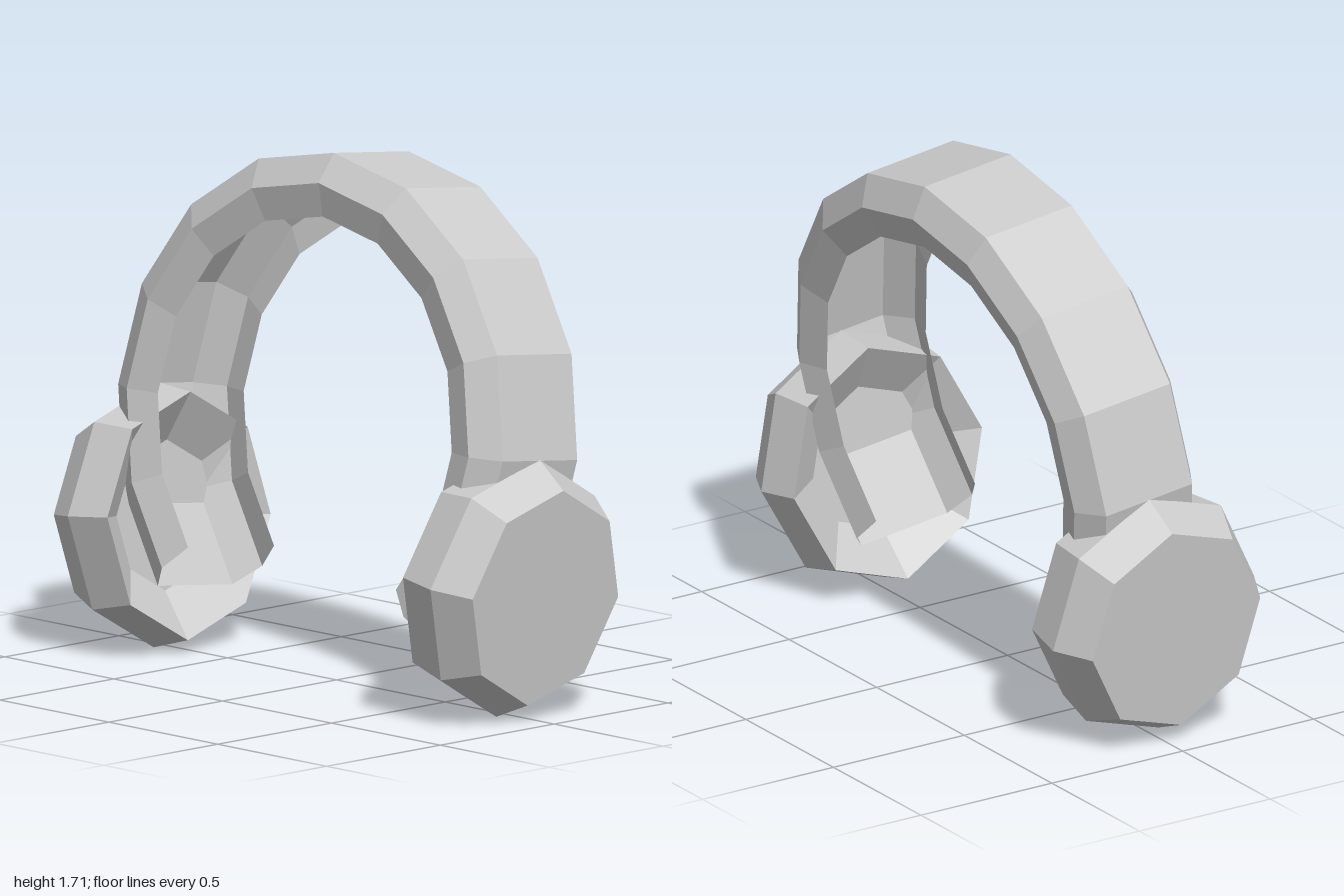
import * as THREE from 'three';

const material = new THREE.MeshStandardMaterial({ color: 0xcccccc, flatShading: true });
const shellMaterial = new THREE.MeshStandardMaterial({
  color: 0xcccccc, flatShading: true, side: THREE.DoubleSide,
});

// Headband: a thin hollow channel, section [radius, z], swept through 270 degrees
function headbandGeometry() {
  const section = [
    [0.675, -0.19], [0.785, -0.222], [0.883, -0.165],
    [0.883, 0.165], [0.785, 0.222], [0.675, 0.19],
  ];
  const n = section.length;
  const steps = 12;
  const positions = [];
  const index = [];
  for (let i = 0; i <= steps; i++) {
    const a = (i / steps - 0.5) * Math.PI * 1.5;
    for (const [r, z] of section) positions.push(r * Math.sin(a), 0.98 * r * Math.cos(a), z);
  }
  for (let i = 0; i < steps; i++) {
    for (let j = 0; j < n - 1; j++) {
      const a = i * n + j;
      const b = a + 1;
      index.push(a, b, b + n, a, b + n, a + n);
    }
  }
  const geometry = new THREE.BufferGeometry();
  geometry.setAttribute('position', new THREE.Float32BufferAttribute(positions, 3));
  geometry.setIndex(index);
  const flat = geometry.toNonIndexed();
  flat.computeVertexNormals();
  return flat;
}

// Ear cup: eight-sided drum with bevelled rims and a hollow on the inner side
function earCupGeometry() {
  const profile = [
    [0, -0.05], [0.24, -0.05], [0.395, -0.155], [0.422, 0], [0.352, 0.13], [0, 0.13],
  ].map(([r, y]) => new THREE.Vector2(r, y));
  const geometry = new THREE.LatheGeometry(profile, 8);
  geometry.scale(1, 1, 0.915);
  geometry.rotateZ(-Math.PI / 2 - 0.11); // axis outward, lower edge tucked in
  geometry.translate(0.833, 0, 0);
  return geometry;
}

export function createModel() {
  const model = new THREE.Group();
  model.name = 'headphones';

  // Everything leans back around the ear cup axis
  const frame = new THREE.Group();
  frame.name = 'leaningFrame';
  frame.position.y = 0.42;
  frame.rotation.x = -0.12;
  model.add(frame);

  const headband = new THREE.Mesh(headbandGeometry(), shellMaterial);
  headband.name = 'headband';
  headband.position.y = 0.415;
  frame.add(headband);

  const cupGeometry = earCupGeometry();
  for (const [name, turn] of [['leftEarCup', 0], ['rightEarCup', Math.PI]]) {
    const cup = new THREE.Mesh(cupGeometry, material);
    cup.name = name;
    cup.rotation.y = turn;
    frame.add(cup);
  }
  return model;
}
